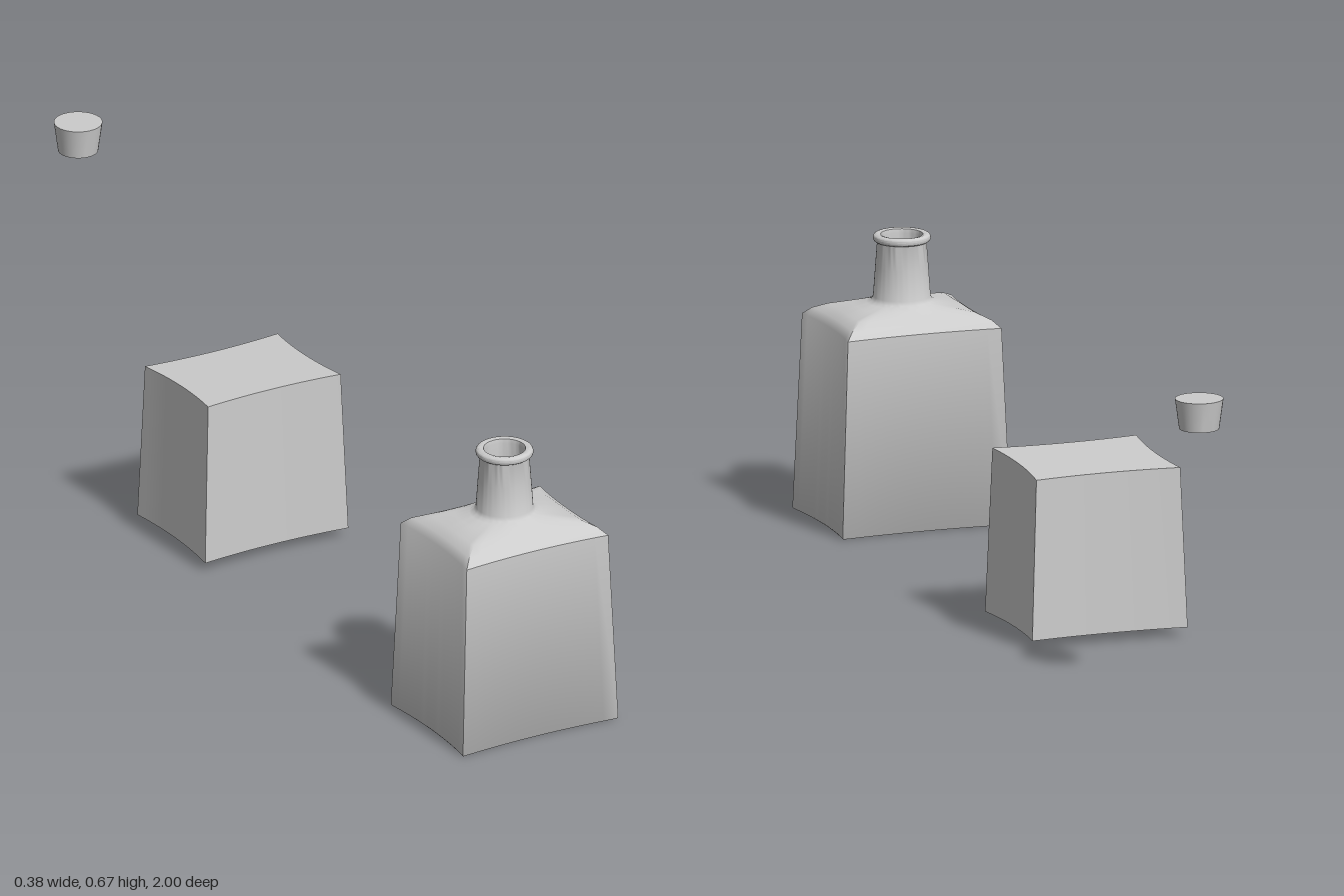
import * as THREE from 'three';
import { toCreasedNormals } from 'three/addons/utils/BufferGeometryUtils.js';

const SIDES = 64; // multiple of 8, so the corners are hit exactly

// Skins rows of [y, halfX, halfZ, roundness, tilt]; roundness 0 is a rectangle
// with inward-bowed sides, 1 an ellipse. Tilt raises the +z side of a row.
function loft(rows, bow, crease) {
  const pos = [], index = [];
  for (const [y, hx, hz, k, tilt = 0] of rows) {
    for (let j = 0; j < SIDES; j++) {
      const a = (j / SIDES) * Math.PI * 2, c = Math.cos(a), s = Math.sin(a);
      const m = Math.max(Math.abs(c), Math.abs(s));
      const u = c / m, v = s / m;
      const onX = Math.abs(c) >= Math.abs(s);
      const inset = hx > 0 ? bow * (1 - (onX ? v * v : u * u)) : 0;
      const rx = u * hx - (onX ? Math.sign(u) * inset : 0);
      const rz = v * hz - (onX ? 0 : Math.sign(v) * inset);
      const z = THREE.MathUtils.lerp(rz, s * hz, k);
      pos.push(THREE.MathUtils.lerp(rx, c * hx, k), y + tilt * z, z);
    }
  }
  for (let i = 0; i < rows.length - 1; i++) {
    for (let j = 0; j < SIDES; j++) {
      const a = i * SIDES + j, b = i * SIDES + ((j + 1) % SIDES);
      const c = a + SIDES, d = b + SIDES;
      if (rows[i + 1][1] > 0) index.push(a, c, d);
      if (rows[i][1] > 0) index.push(a, d, b);
    }
  }
  const geo = new THREE.BufferGeometry();
  geo.setAttribute('position', new THREE.Float32BufferAttribute(pos, 3));
  geo.setIndex(index);
  return toCreasedNormals(geo, crease);
}

export function createModel() {
  const model = new THREE.Group();
  const material = new THREE.MeshStandardMaterial({ color: 0xcccccc });
  const add = (name, geo, x, y, z) => {
    const mesh = new THREE.Mesh(geo, material);
    mesh.name = name;
    mesh.position.set(x, y, z);
    model.add(mesh);
  };
  const round = (y, r) => [y, r, r, 1];

  // Lip: a half-round bead, swept from below to the mouth
  const lip = [];
  for (let i = 0; i <= 8; i++) {
    const a = -Math.PI / 2 + (i / 8) * Math.PI;
    lip.push(round(0.614 + 0.009 * Math.sin(a), 0.053 + 0.009 * Math.cos(a)));
  }

  // Bottle: outer wall, shoulder, neck and lip, then the inner wall down again
  add('bottle', loft([
    [0, 0, 0, 0],
    [0, 0.190, 0.150, 0],
    [0.003, 0.192, 0.152, 0],
    [0.43, 0.175, 0.139, 0],
    [0.446, 0.161, 0.123, 0.05],
    [0.459, 0.14, 0.1, 0.2],
    [0.468, 0.105, 0.083, 0.6],
    [0.474, 0.076, 0.071, 1],
    round(0.478, 0.066),
    round(0.486, 0.0615),
    round(0.55, 0.057),
    round(0.604, 0.053),
    ...lip,
    round(0.621, 0.045),
    round(0.612, 0.043),
    round(0.48, 0.05),
    [0.455, 0.12, 0.085, 0.3],
    [0.425, 0.163, 0.127, 0],
    [0.02, 0.178, 0.139, 0],
    [0.02, 0, 0, 0],
  ], 0.01, 0.72), 0, 0, 0.848);

  // Liquid: tapered block with a slightly sloping surface
  add('liquid', loft([
    [0.02, 0, 0, 0],
    [0.02, 0.177, 0.143, 0],
    [0.375, 0.164, 0.133, 0, 0.04],
    [0.375, 0, 0, 0, 0.04],
  ], 0.01, 0.6), -0.013, 0, -0.232);

  // Stopper: tapered cork
  add('stopper', toCreasedNormals(
    new THREE.CylinderGeometry(0.052, 0.043, 0.066, 32), 0.6), 0, 0.637, -0.948);

  return model;
}
